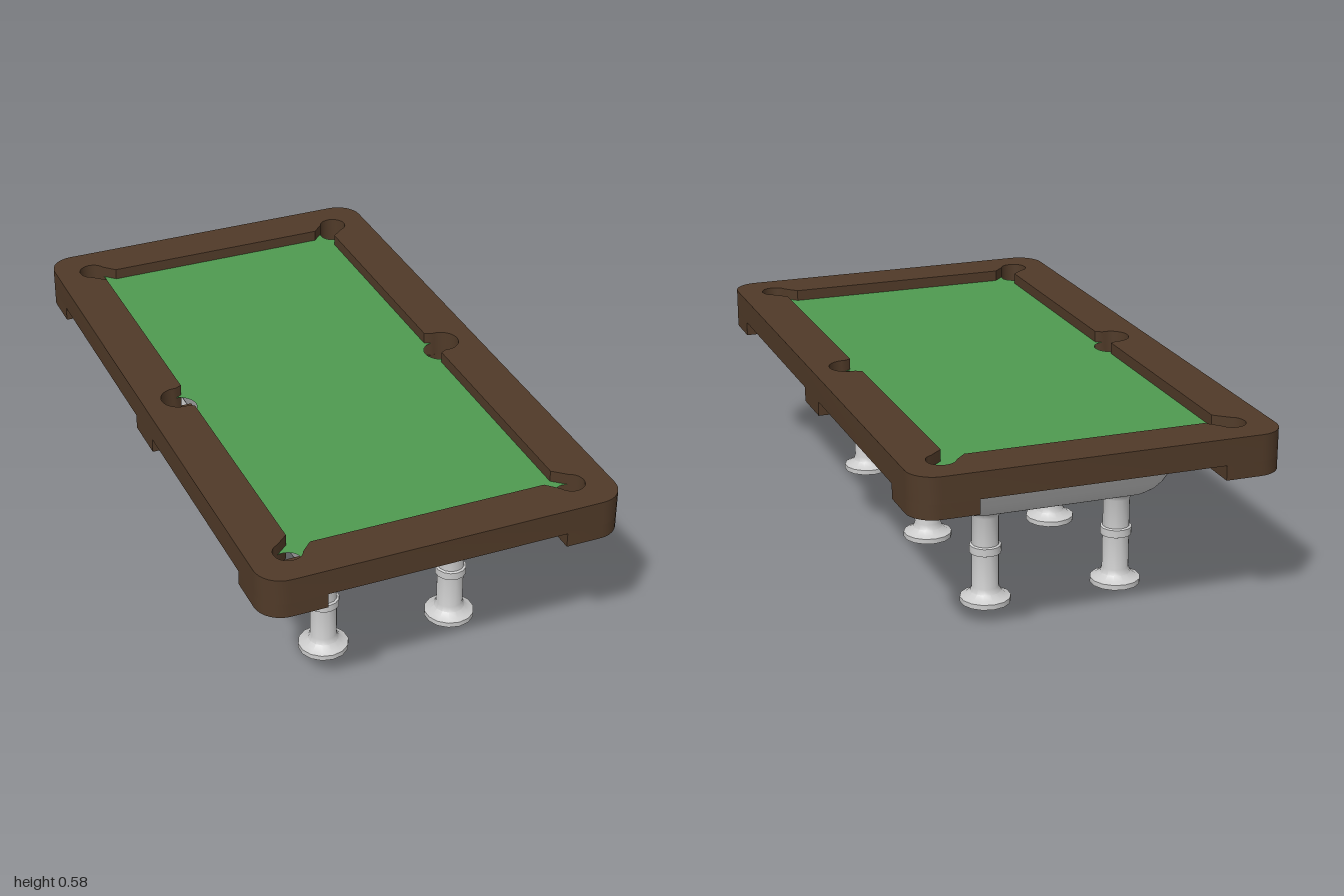
import * as THREE from 'three';
import { toCreasedNormals } from 'three/addons/utils/BufferGeometryUtils.js';

const grey = new THREE.MeshStandardMaterial({ color: 0xcccccc });
const greyThin = new THREE.MeshStandardMaterial({ color: 0xcccccc, side: THREE.DoubleSide });
const wood = new THREE.MeshStandardMaterial({ color: 0x503a28 });
const cloth = new THREE.MeshStandardMaterial({ color: 0x4f9a50, side: THREE.DoubleSide });

const TOP = 0.585, RAIL_BOTTOM = 0.505, BLOCK_BOTTOM = 0.46, CLOTH_Y = 0.55;
const W = 0.56, L = 1, CORNER_R = 0.08;
const cornerPocket = { x: 0.44, z: 0.875, r: 0.043 };
const sidePocket = { x: 0.445, z: 0, r: 0.055 };

function addMesh(parent, name, geometry, material) {
  const mesh = new THREE.Mesh(geometry, material);
  mesh.name = name;
  parent.add(mesh);
  return mesh;
}

// Points on a circle in the x-z plane, angles in degrees
function arc(cx, cz, r, from, to, n = 12) {
  const pts = [];
  for (let i = 0; i <= n; i++) {
    const a = THREE.MathUtils.degToRad(from + ((to - from) * i) / n);
    pts.push(new THREE.Vector2(cx + r * Math.cos(a), cz + r * Math.sin(a)));
  }
  return pts;
}

const flip = (pts, sx, sz) => pts.map((p) => new THREE.Vector2(p.x * sx, p.y * sz));

// Repeat a quarter outline (running from z = 0 to x = 0) around all four quadrants
const fourWay = (q) => [
  ...q,
  ...flip(q, -1, 1).reverse(),
  ...flip(q, -1, -1),
  ...flip(q, 1, -1).reverse(),
];

// Playing area outline; the pocket arcs bulge into the rails or bite into the cloth
function playOutline(bite) {
  const s = sidePocket, c = cornerPocket;
  return fourWay([
    ...arc(s.x, s.z, s.r, bite ? 180 : 0, 100, 8),
    new THREE.Vector2(0.415, 0.065),
    new THREE.Vector2(0.415, 0.8),
    ...arc(c.x, c.z, c.r, -70, bite ? -200 : 160, 16),
    new THREE.Vector2(0.365, 0.855),
  ]);
}

// Horizontal slab between two heights
function slab(points, holes, top, bottom) {
  const shape = new THREE.Shape(points);
  holes.forEach((h) => shape.holes.push(new THREE.Path(h)));
  const g = new THREE.ExtrudeGeometry(shape, { depth: top - bottom, bevelEnabled: false });
  g.rotateX(Math.PI / 2).translate(0, top, 0);
  return toCreasedNormals(g, 0.6);
}

// Tapered tub lofted from rounded rectangles: [y, half width, half length, corner radius]
function cabinetGeometry() {
  const rings = [
    [0.548, 0.378, 0.825, 0.03],
    [0.505, 0.365, 0.8, 0.03],
    [0.36, 0.318, 0.72, 0.04],
    [0.335, 0.307, 0.7, 0.045],
    [0.316, 0.288, 0.68, 0.05],
    [0.307, 0.265, 0.66, 0.05],
    [0.305, 0.24, 0.635, 0.05],
    [0.305, 0.0, 0.0, 0.0],
  ];
  const pos = [], index = [];
  let n = 0;
  for (const [y, w, l, r] of rings) {
    const outline = fourWay(arc(w - r, l - r, r, 0, 90, 5));
    n = outline.length;
    outline.forEach((p) => pos.push(p.x, y, p.y));
  }
  for (let k = 0; k < rings.length - 1; k++) {
    for (let i = 0; i < n; i++) {
      const a = k * n + i, b = k * n + ((i + 1) % n);
      index.push(a, b, a + n, b, b + n, a + n);
    }
  }
  const g = new THREE.BufferGeometry();
  g.setAttribute('position', new THREE.Float32BufferAttribute(pos, 3));
  g.setIndex(index);
  return toCreasedNormals(g, 0.6);
}

// Turned leg with hollow foot, middle collar and flared top
function legGeometry() {
  const profile = [
    [0.077, 0], [0.077, 0.016], [0.062, 0.022], [0.047, 0.034], [0.041, 0.05],
    [0.041, 0.155], [0.048, 0.158], [0.048, 0.182], [0.041, 0.185],
    [0.041, 0.275], [0.046, 0.288], [0.056, 0.296], [0.056, 0.308],
  ].map(([r, y]) => new THREE.Vector2(r, y));
  return toCreasedNormals(new THREE.LatheGeometry(profile, 14), 0.6);
}

export function createModel() {
  const table = new THREE.Group();
  table.name = 'poolTable';

  // Rail frame and cloth
  const rim = fourWay(arc(W - CORNER_R, L - CORNER_R, CORNER_R, 0, 90, 8));
  addMesh(table, 'railFrame', slab(rim, [playOutline(false)], TOP, RAIL_BOTTOM), wood);
  const bed = new THREE.ShapeGeometry(new THREE.Shape(playOutline(true)));
  bed.rotateX(-Math.PI / 2).translate(0, CLOTH_Y, 0);
  addMesh(table, 'cloth', bed, cloth);

  // Pocket blocks under the rails, with cups hanging below
  const cornerBlock = [
    new THREE.Vector2(0.37, 0.805),
    new THREE.Vector2(W, 0.805),
    ...arc(W - CORNER_R, L - CORNER_R, CORNER_R, 0, 90, 8),
    new THREE.Vector2(0.37, L),
  ];
  const sideBlock = [[0.38, -0.075], [W, -0.075], [W, 0.075], [0.38, 0.075]]
    .map(([x, z]) => new THREE.Vector2(x, z));

  function addPocket(name, block, p, sx, sz) {
    const hole = arc(p.x, p.z, p.r, 0, 345, 23);
    addMesh(table, name + 'Block',
      slab(flip(block, sx, sz), [flip(hole, sx, sz)], RAIL_BOTTOM, BLOCK_BOTTOM), wood);
    const cup = addMesh(table, name + 'Cup',
      new THREE.SphereGeometry(p.r, 20, 8, 0, Math.PI * 2, Math.PI / 2, Math.PI / 2), greyThin);
    cup.position.set(p.x * sx, 0.42 + p.r, p.z * sz);
  }
  for (const sx of [-1, 1]) {
    addPocket('sidePocket', sideBlock, sidePocket, sx, 1);
    for (const sz of [-1, 1]) addPocket('cornerPocket', cornerBlock, cornerPocket, sx, sz);
  }

  // Cabinet under the bed
  addMesh(table, 'cabinet', cabinetGeometry(), grey);

  // Six legs
  const leg = legGeometry();
  for (const x of [-0.22, 0.2]) {
    for (const z of [0.61, -0.04, -0.575]) {
      addMesh(table, 'leg', leg, greyThin).position.set(x, 0, z);
    }
  }
  return table;
}
